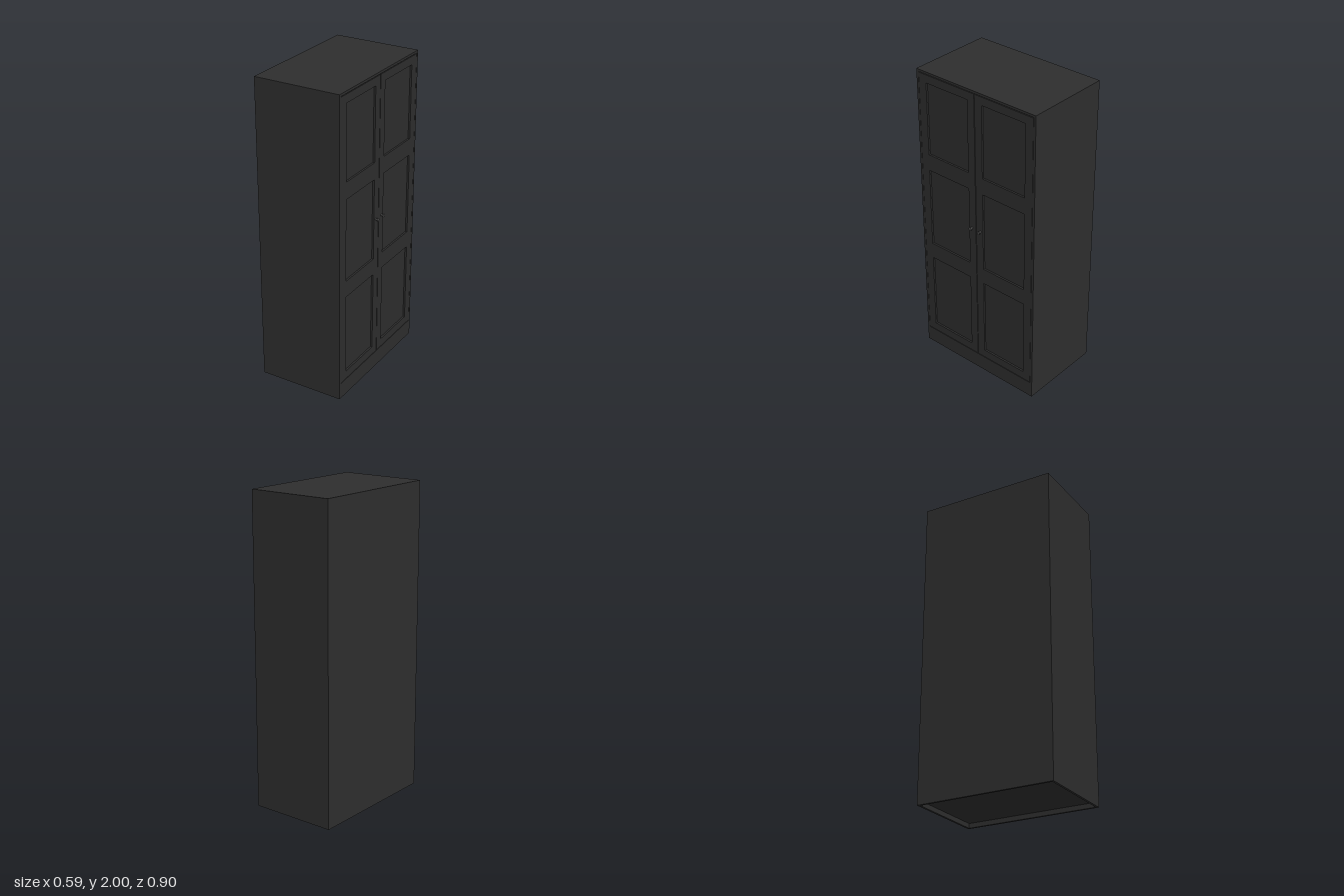
import * as THREE from 'three';

const X0 = -0.295, X1 = 0.272, Z = 0.45, H = 2, T = 0.015;
const paint = new THREE.MeshStandardMaterial({ color: 0x2d2d2d });
const metal = new THREE.MeshStandardMaterial({ color: 0x4a4a4a });

// Box given by its extents on each axis
function slab(name, [xa, xb], [ya, yb], [za, zb]) {
  const mesh = new THREE.Mesh(new THREE.BoxGeometry(xb - xa, yb - ya, zb - za), paint);
  mesh.position.set((xa + xb) / 2, (ya + yb) / 2, (za + zb) / 2);
  mesh.name = name;
  return mesh;
}

// Rectangle as a closed outline, usable as a shape or a hole
function rect(Type, x0, y0, x1, y1) {
  return new Type([[x0, y0], [x1, y0], [x1, y1], [x0, y1]].map(p => new THREE.Vector2(...p)));
}

function makeDoor(side) {
  const door = new THREE.Group();
  door.name = side > 0 ? 'leftDoor' : 'rightDoor';
  const inner = 0.002, outer = 0.433, bottom = 0.111, top = 1.981;
  const thick = 0.02, recess = 0.012;

  // Frame with three openings; shape x runs along -z
  const span = (a, b) => (side > 0 ? [-b, -a] : [a, b]);
  const [a, b] = span(inner, outer);
  const frame = rect(THREE.Shape, a, bottom, b, top);
  const [pa, pb] = span(0.055, 0.376);
  for (const [y0, y1] of [[0.166, 0.695], [0.804, 1.34], [1.45, 1.928]]) {
    frame.holes.push(rect(THREE.Path, pa, y0, pb, y1));
  }
  const geo = new THREE.ExtrudeGeometry(frame, { depth: thick, bevelEnabled: false });
  geo.rotateY(Math.PI / 2);
  const rails = new THREE.Mesh(geo, paint);
  rails.position.x = X1 - thick;
  rails.name = 'doorFrame';
  door.add(rails);

  // Sunken panel behind the openings
  const z = [side * 0.04, side * 0.39].sort((p, q) => p - q);
  door.add(slab('doorPanel', [X1 - thick + 0.001, X1 - recess], [0.15, 1.945], z));

  // Turned knob with a slim neck and a flat head
  const profile = [[0, 0], [0.007, 0], [0.006, 0.006], [0.006, 0.013],
    [0.011, 0.0145], [0.011, 0.0195], [0, 0.0195]].map(p => new THREE.Vector2(...p));
  const knobGeo = new THREE.LatheGeometry(profile, 24).toNonIndexed();
  knobGeo.computeVertexNormals();
  const knob = new THREE.Mesh(knobGeo, metal);
  knob.rotation.z = -Math.PI / 2;
  knob.position.set(X1, 1.07, side * 0.034);
  knob.name = 'knob';
  door.add(knob);
  return door;
}

export function createModel() {
  const wardrobe = new THREE.Group();
  wardrobe.name = 'wardrobe';

  // Carcass
  const inZ = [-Z + T, Z - T];
  wardrobe.add(
    slab('leftSide', [X0, X1], [0, H], [Z - T, Z]),
    slab('rightSide', [X0, X1], [0, H], [-Z, -Z + T]),
    slab('topBoard', [X0, X1], [H - T, H], inZ),
    slab('backBoard', [X0, X0 + T], [0, H - T], inZ),
    slab('plinth', [X1 - T, X1], [0, 0.107], inZ),
    slab('floorBoard', [X0 + T, X1 - T], [0.03, 0.107], inZ)
  );

  // Doors
  for (const side of [1, -1]) wardrobe.add(makeDoor(side));
  return wardrobe;
}
